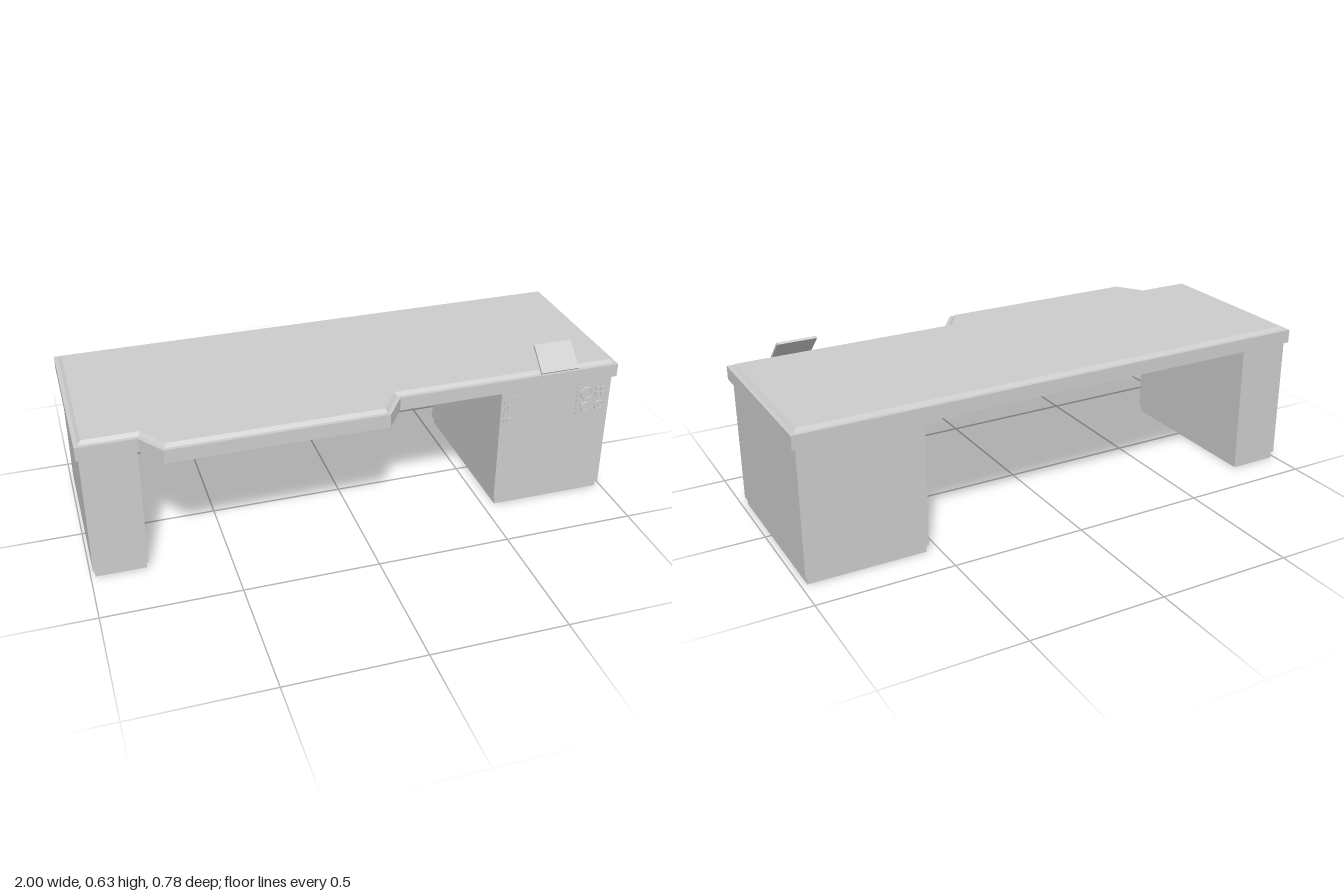
import * as THREE from 'three';

const material = new THREE.MeshStandardMaterial({ color: 0xcccccc, flatShading: true });

function add(parent, name, geometry, x = 0, y = 0, z = 0) {
  const mesh = new THREE.Mesh(geometry, material);
  mesh.name = name;
  mesh.position.set(x, y, z);
  parent.add(mesh);
  return mesh;
}

// Box given by its limits on each axis
function box(parent, name, [x0, x1], [y0, y1], [z0, z1]) {
  return add(parent, name, new THREE.BoxGeometry(x1 - x0, y1 - y0, z1 - z0),
    (x0 + x1) / 2, (y0 + y1) / 2, (z0 + z1) / 2);
}

// Mitred inward offset of an outline in the x-z plane
function inset(outline, d) {
  const n = outline.length;
  return outline.map((p, i) => {
    const a = p.clone().sub(outline[(i + n - 1) % n]).normalize();
    const b = outline[(i + 1) % n].clone().sub(p).normalize();
    const na = new THREE.Vector2(-a.y, a.x), nb = new THREE.Vector2(-b.y, b.x);
    return na.clone().add(nb).multiplyScalar(d / (1 + na.dot(nb))).add(p);
  });
}

// Closed solid through rings of [inset, height] around the outline
function steppedSlab(outline, rings) {
  const n = outline.length, positions = [], index = [];
  rings.forEach(([d, y]) => inset(outline, d).forEach(p => positions.push(p.x, y, p.y)));
  for (let r = 0; r < rings.length - 1; r++) {
    for (let i = 0; i < n; i++) {
      const a = r * n + i, b = r * n + (i + 1) % n;
      index.push(a, a + n, b + n, a, b + n, b);
    }
  }
  const top = (rings.length - 1) * n;
  THREE.ShapeUtils.triangulateShape(outline, []).forEach(([a, b, c]) => {
    index.push(a, b, c, top + a, top + c, top + b);
  });
  const geometry = new THREE.BufferGeometry();
  geometry.setAttribute('position', new THREE.Float32BufferAttribute(positions, 3));
  geometry.setIndex(index);
  const flat = geometry.toNonIndexed();
  flat.computeVertexNormals();
  return flat;
}

// Pedestal body on a slightly recessed plinth
function pedestal(parent, name, x0, x1) {
  const group = new THREE.Group();
  group.name = name;
  box(group, 'pedestalBody', [x0, x1], [0.028, 0.5], [-0.376, 0.279]);
  box(group, 'plinth', [x0 + 0.007, x1 - 0.007], [0, 0.028], [-0.369, 0.272]);
  parent.add(group);
  return group;
}

// Round gauge facing the front: disc with a raised rim
function gauge(parent, x, y, r) {
  const disc = add(parent, 'gaugeFace', new THREE.CylinderGeometry(r, r, 0.004, 24), x, y, 0.283);
  disc.rotation.x = Math.PI / 2;
  add(parent, 'gaugeRim', new THREE.TorusGeometry(r - 0.002, 0.003, 6, 24), x, y, 0.284);
}

export function createModel() {
  const desk = new THREE.Group();
  desk.name = 'desk';

  // Worktop with a forward bay and a raised, bevelled upper surface
  const outline = [[-1, -0.39], [1, -0.39], [1, 0.29], [0.14, 0.29], [0.07, 0.39],
    [-0.72, 0.39], [-0.79, 0.29], [-1, 0.29]].map(p => new THREE.Vector2(...p));
  add(desk, 'worktop', steppedSlab(outline,
    [[0, 0.498], [0, 0.549], [0.014, 0.549], [0.026, 0.561]]));

  // Narrow and wide pedestals
  pedestal(desk, 'rightPedestal', -0.99, -0.794);
  const wide = pedestal(desk, 'leftPedestal', 0.54, 0.985);

  // Gauge panel
  const panel = new THREE.Group();
  panel.name = 'gaugePanel';
  wide.add(panel);
  box(panel, 'panelPlate', [0.848, 0.984], [0.352, 0.498], [0.278, 0.281]);
  gauge(panel, 0.885, 0.441, 0.025);
  gauge(panel, 0.885, 0.382, 0.019);
  gauge(panel, 0.942, 0.382, 0.019);
  for (const x of [0.932, 0.953]) {
    for (const y of [0.43, 0.451]) {
      box(panel, 'button', [x - 0.008, x + 0.008], [y - 0.008, y + 0.008], [0.28, 0.285]);
    }
  }

  // Small switch plate
  const switches = new THREE.Group();
  switches.name = 'switchPlate';
  wide.add(switches);
  box(switches, 'plate', [0.553, 0.608], [0.355, 0.475], [0.278, 0.281]);
  box(switches, 'display', [0.565, 0.596], [0.41, 0.44], [0.28, 0.284]);
  box(switches, 'slot', [0.565, 0.596], [0.372, 0.386], [0.28, 0.285]);

  // Tilted screen on the front edge
  const screen = add(desk, 'tiltedScreen', new THREE.BoxGeometry(0.148, 0.009, 0.113), 0.764, 0.592, 0.243);
  screen.rotation.x = Math.atan2(0.077, 0.079);

  return desk;
}
